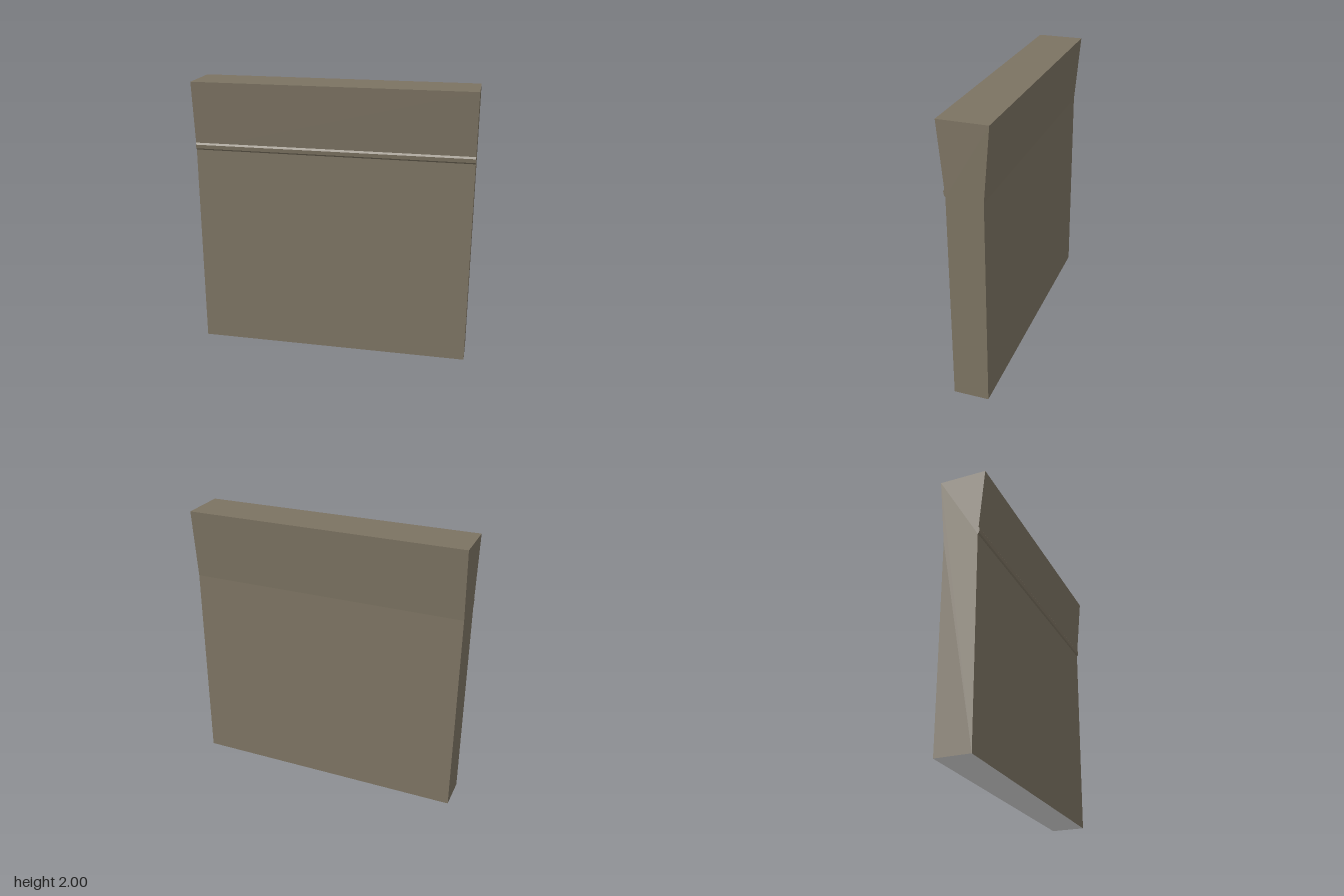
import * as THREE from 'three';

const WIDTH = 2;

// Extrude a (z, y) cross-section along the full width of the wall
function extrudeAlongX(profile) {
  const shape = new THREE.Shape(profile.map(([z, y]) => new THREE.Vector2(z, y)));
  const geometry = new THREE.ExtrudeGeometry(shape, { depth: WIDTH, bevelEnabled: false });
  geometry.translate(0, 0, -WIDTH / 2);
  geometry.rotateY(-Math.PI / 2);
  geometry.clearGroups();
  return geometry;
}

// Give triangles that face straight down the second material
function groupUnderside(geometry) {
  const normal = geometry.attributes.normal;
  for (let i = 0; i < normal.count; i += 3) {
    geometry.addGroup(i, 3, normal.getY(i) < -0.99 ? 1 : 0);
  }
  return geometry;
}

export function createModel() {
  const group = new THREE.Group();
  group.name = 'wallSegment';

  const stone = new THREE.MeshStandardMaterial({ color: 0x7c7362 });
  stone.name = 'brown stone';
  const base = new THREE.MeshStandardMaterial({ color: 0xdedede });
  base.name = 'pale grey underside';

  // Straight wall flaring outwards towards the top
  const wall = new THREE.Mesh(groupUnderside(extrudeAlongX([
    [-0.125, 0], [0.125, 0], [0.125, 1.5],
    [0.169, 2], [-0.169, 2], [-0.125, 1.5],
  ])), [stone, base]);
  wall.name = 'wall';
  group.add(wall);

  // Narrow faceted moulding on the front, below the flare
  const moulding = new THREE.Mesh(extrudeAlongX([
    [0.12, 1.502], [0.126, 1.502], [0.134, 1.512],
    [0.138, 1.54], [0.129, 1.555], [0.12, 1.555],
  ]), stone);
  moulding.name = 'frontMoulding';
  group.add(moulding);

  return group;
}
